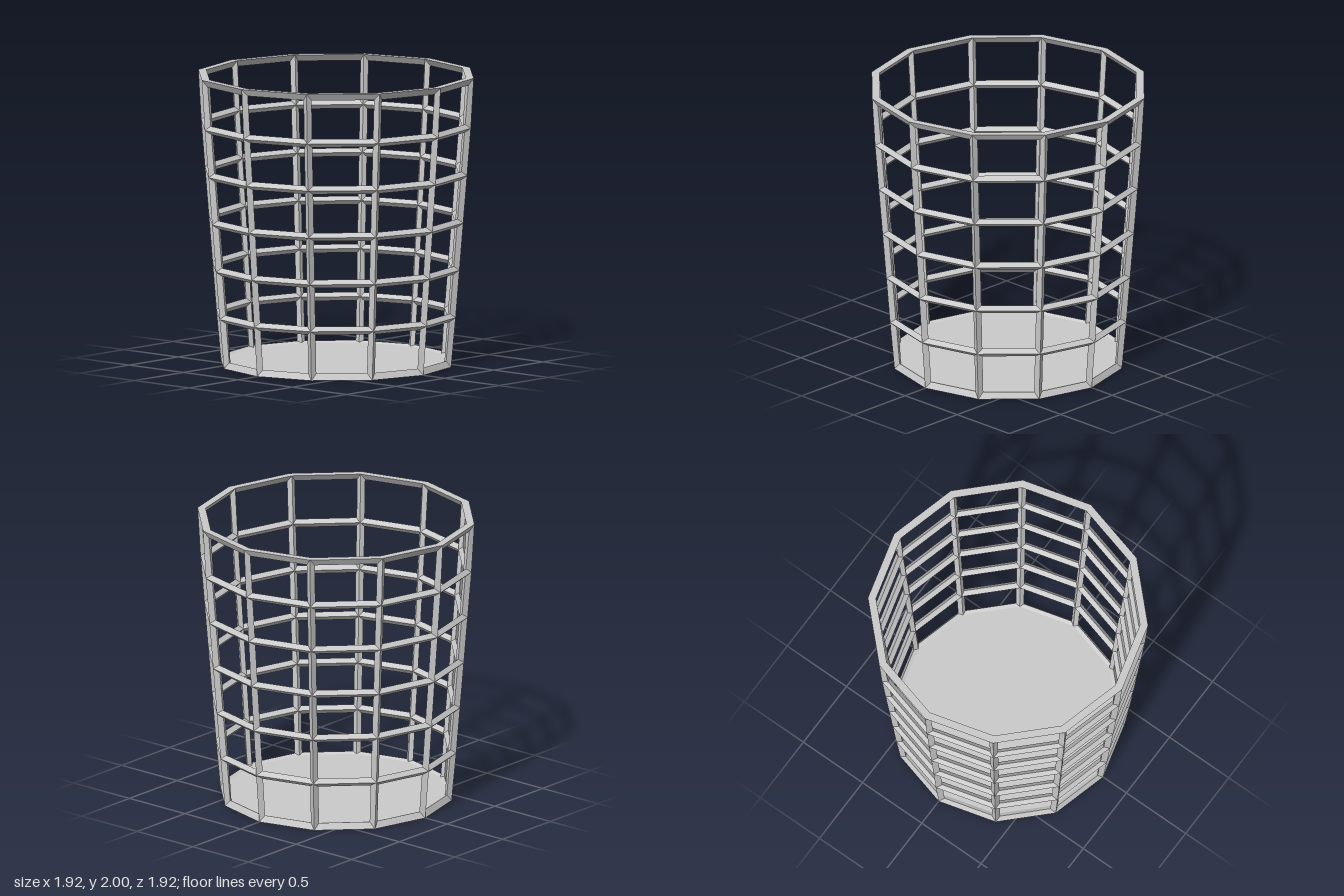
import * as THREE from 'three';

const SIDES = 12, ROWS = 6;
const HALF = 0.0285; // half thickness of a bar
const material = new THREE.MeshStandardMaterial({ color: 0xcccccc, flatShading: true });

// Wall profile (radius, height) at each ring: bar centre, outer ridge, inner ridge
const centre = [], outer = [], inner = [];
for (let j = 0; j <= ROWS; j++) {
  const y = 0.017 + 0.3277 * j, r = 0.779 + 0.081 * y;
  centre.push([r, y]);
  outer.push([r + HALF, y - 0.002]);
  inner.push([r - HALF, y + 0.002]);
}
outer[0] = [0.804, 0];
inner[0] = [0.757, 0.034];
outer[ROWS] = [0.962, 2];
inner[ROWS] = [0.906, 2];

function at([r, y], i) {
  const a = (i / SIDES) * Math.PI * 2;
  return new THREE.Vector3(r * Math.sin(a), y, r * Math.cos(a));
}

function quadMesh(name, quads) {
  const pos = [];
  for (const [a, b, c, d] of quads)
    for (const v of [a, b, c, a, c, d]) pos.push(v.x, v.y, v.z);
  const geo = new THREE.BufferGeometry();
  geo.setAttribute('position', new THREE.Float32BufferAttribute(pos, 3));
  geo.computeVertexNormals();
  const mesh = new THREE.Mesh(geo, material);
  mesh.name = name;
  return mesh;
}

// One wall panel: a bevelled frame around an opening, outside and inside
function panelFrame(i, j) {
  const corners = [[i, j], [i + 1, j], [i + 1, j + 1], [i, j + 1]];
  const ring = (profile) => corners.map(([ci, cj]) => at(profile[cj], ci));
  const o = ring(outer), n = ring(inner), c = ring(centre);
  const hole = c.map((p, k) => {
    const across = c[k ^ 1].clone().sub(p).setLength(0.029);
    const along = c[3 - k].clone().sub(p).setLength(0.029);
    return p.clone().add(across).add(along);
  });
  const quads = [];
  for (let k = 0; k < 4; k++) {
    const m = (k + 1) % 4;
    quads.push([o[k], o[m], hole[m], hole[k]]);
    quads.push([n[m], n[k], hole[k], hole[m]]);
  }
  return quads;
}

function floorDisc(name, [r, y], facing) {
  const mesh = new THREE.Mesh(new THREE.CircleGeometry(r, SIDES), material);
  mesh.rotation.x = -facing * Math.PI / 2;
  mesh.position.y = y;
  mesh.name = name;
  return mesh;
}

export function createModel() {
  const basket = new THREE.Group();
  basket.name = 'basket';

  // Lattice wall, one mesh per row of openings
  for (let j = 0; j < ROWS; j++) {
    const quads = [];
    for (let i = 0; i < SIDES; i++) quads.push(...panelFrame(i, j));
    basket.add(quadMesh('latticeRow' + (j + 1), quads));
  }

  // Flat top of the rim
  const rim = [];
  for (let i = 0; i < SIDES; i++)
    rim.push([at(outer[ROWS], i), at(outer[ROWS], i + 1), at(inner[ROWS], i + 1), at(inner[ROWS], i)]);
  basket.add(quadMesh('rimTop', rim));

  // Solid floor
  basket.add(floorDisc('floorTop', inner[0], 1), floorDisc('floorUnderside', outer[0], -1));
  return basket;
}
